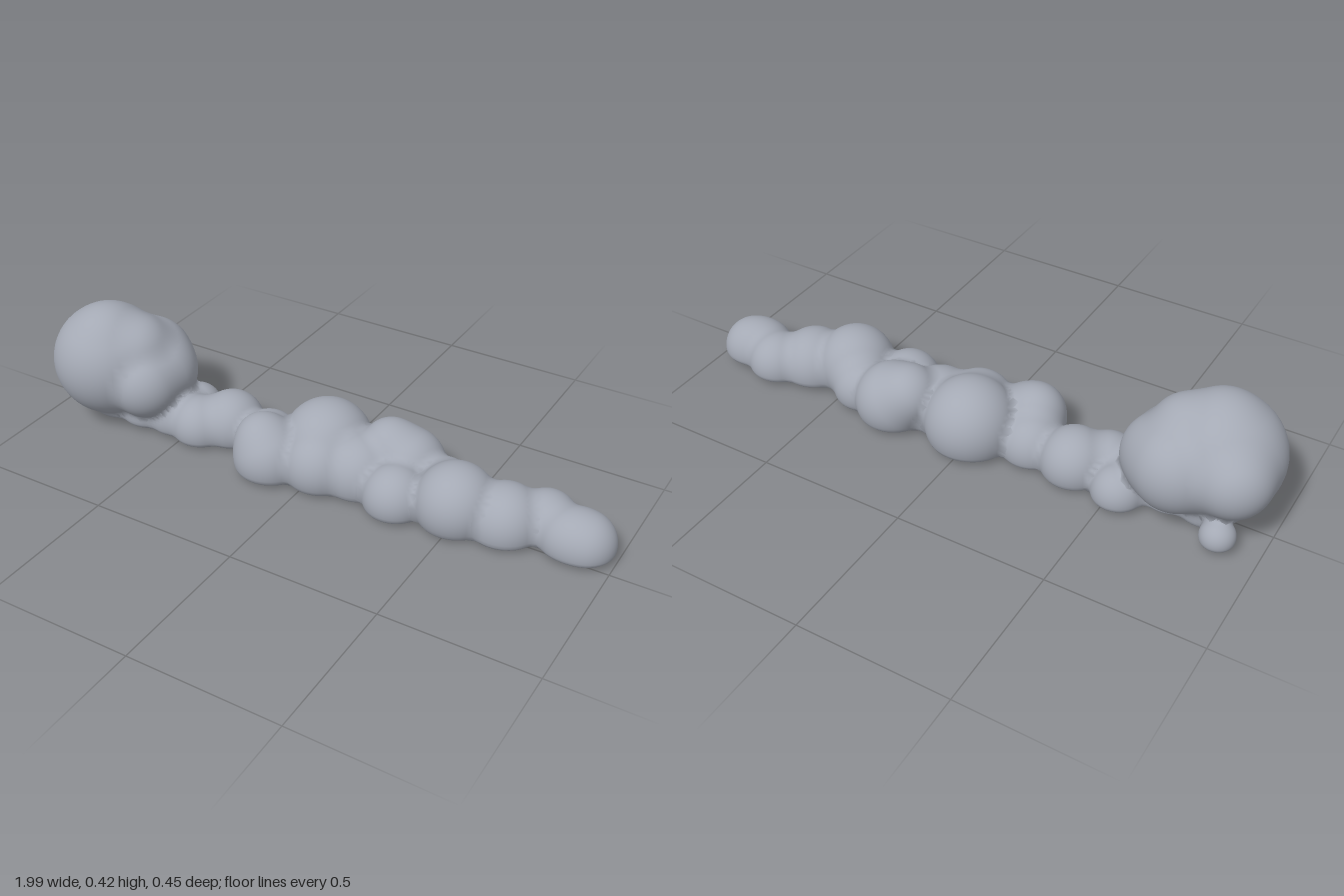
import * as THREE from 'three';
import { mergeGeometries } from 'three/addons/utils/BufferGeometryUtils.js';

// Puffs as [x, y, z, radius]
const HEAD = [
  [-0.80, 0.22, 0.03, 0.192], [-0.79, 0.30, 0.04, 0.12], [-0.70, 0.20, -0.06, 0.148],
  [-0.64, 0.19, -0.03, 0.13], [-0.64, 0.18, 0.05, 0.12], [-0.70, 0.265, 0.01, 0.125],
  [-0.87, 0.22, -0.06, 0.122], [-0.86, 0.13, 0.02, 0.1],
];
const TRAIL = [
  [0.895, 0.045, -0.055, 0.1], [0.85, 0.05, -0.05, 0.095], [0.76, 0.05, -0.09, 0.1],
  [0.65, 0.05, -0.03, 0.12], [0.50, 0.08, 0.005, 0.13], [0.42, 0.06, -0.07, 0.1],
  [0.31, 0.055, 0.04, 0.105], [0.28, 0.08, -0.1, 0.125], [0.22, 0.125, -0.1, 0.098],
  [0.15, 0.06, -0.02, 0.125], [0.0, 0.085, -0.075, 0.15], [0.03, 0.07, 0.025, 0.12],
  [-0.14, 0.06, 0.055, 0.122], [-0.17, 0.11, 0.05, 0.09], [-0.20, 0.05, -0.03, 0.105],
  [-0.36, 0.06, -0.05, 0.11], [-0.45, 0.05, 0.005, 0.1], [-0.53, 0.045, -0.09, 0.085],
  [-0.56, 0.05, -0.01, 0.1], [-0.67, 0.05, 0.0, 0.1], [-0.79, 0.06, 0.0, 0.105],
  [-0.87, 0.05, -0.13, 0.055],
];
const PUFFS = [...HEAD, ...TRAIL];

// Polynomial smooth minimum
function smin(a, b, k) {
  const h = Math.max(k - Math.abs(a - b), 0) / k;
  return Math.min(a, b) - h * h * k / 4;
}

// Distance to the blended puffs, cut by a very shallow bowl underneath
function field(x, y, z) {
  let d = 10;
  for (const [px, py, pz, r] of PUFFS) {
    const e = Math.hypot(x - px, y - py, z - pz) - r;
    if (e < d + 0.025) d = smin(d, e, 0.025);
  }
  const base = 0.012 * x * x + 0.25 * z * z - y;
  return -smin(-d, -base, 0.025);
}

// Sphere whose points slide along their rays to the blended surface
function puff([cx, cy, cz, r]) {
  const g = new THREE.SphereGeometry(1, 44, 30);
  const p = g.attributes.position, n = g.attributes.normal;
  const v = new THREE.Vector3(), e = 0.002;
  for (let i = 0; i < p.count; i++) {
    const dx = p.getX(i), dy = p.getY(i), dz = p.getZ(i);
    let t = 0;
    for (let s = 0; s < 40; s++) {
      const d = field(cx + dx * t, cy + dy * t, cz + dz * t);
      t = Math.min(t - d, r + 0.025);
      if (Math.abs(d) < 0.0002) break;
    }
    const x = cx + dx * t, y = cy + dy * t, z = cz + dz * t;
    p.setXYZ(i, x, y, z);
    // Normal from the slope of the field
    v.set(
      field(x + e, y, z) - field(x - e, y, z),
      field(x, y + e, z) - field(x, y - e, z),
      field(x, y, z + e) - field(x, y, z - e)
    ).normalize();
    n.setXYZ(i, v.x, v.y, v.z);
  }
  return g;
}

export function createModel() {
  const group = new THREE.Group();
  group.name = 'smokeTrail';
  const smoke = new THREE.MeshStandardMaterial({ color: 0xa4a9b4 });
  smoke.name = 'smoke grey';
  const parts = { headPuffs: HEAD, trailPuffs: TRAIL };
  for (const [name, list] of Object.entries(parts)) {
    const mesh = new THREE.Mesh(mergeGeometries(list.map(puff)), smoke);
    mesh.name = name;
    group.add(mesh);
  }
  return group;
}
